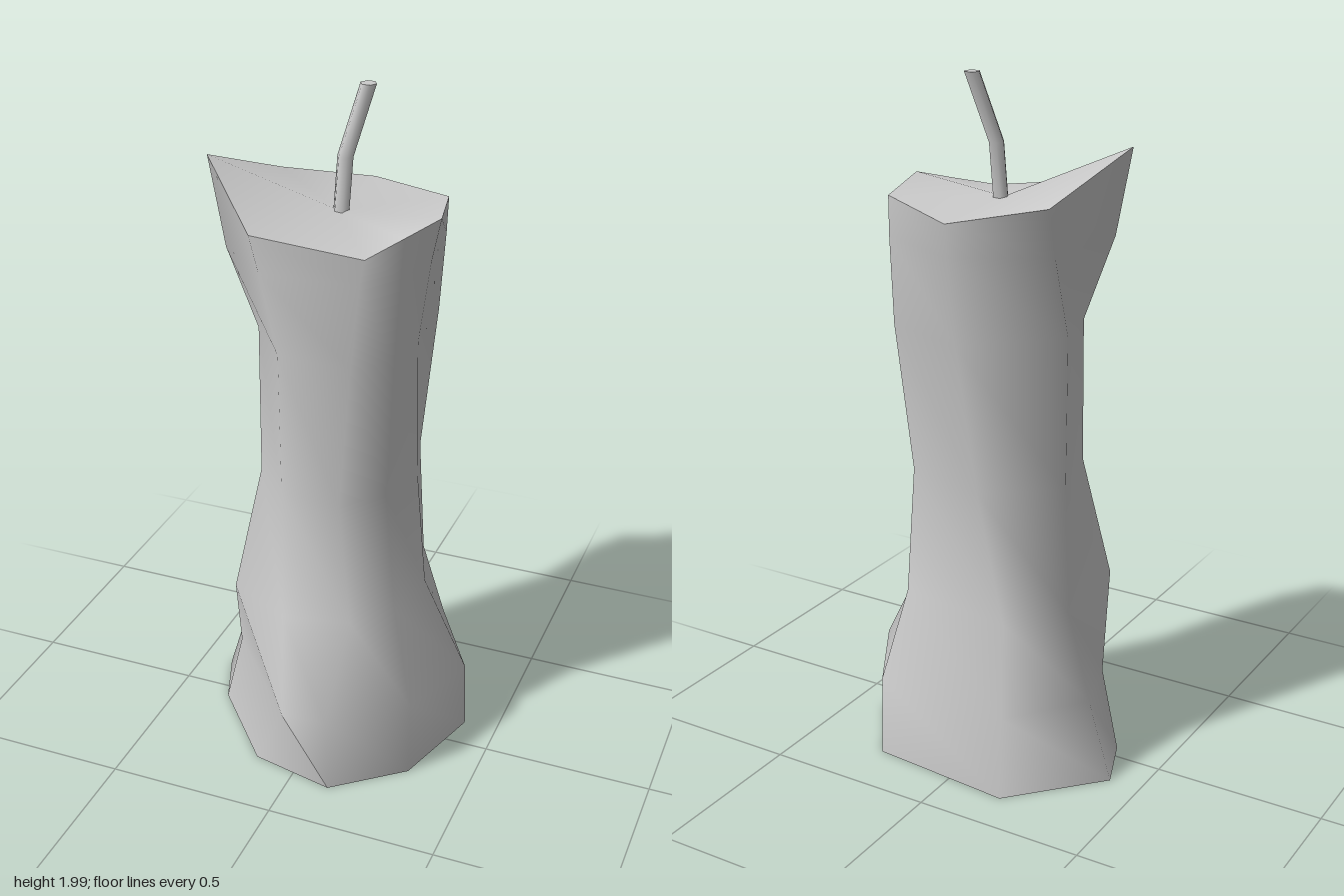
import * as THREE from 'three';

// Smooth geometry from [x, y, z] points and triangle corners
function surface(points, index) {
  const geometry = new THREE.BufferGeometry();
  geometry.setAttribute('position', new THREE.Float32BufferAttribute(points.flat(), 3));
  geometry.setIndex(index);
  geometry.computeVertexNormals();
  return geometry;
}

// Walls through rings listed bottom to top, each running left, front, right, back.
// A sharp crease runs down the diagonal from the first corner of ring `fold` to
// the lowest ring; the triangles below it get their own copies of its corners.
function walls(rings, fold = 0) {
  const n = rings[0].length;
  const index = [];
  const copies = rings.slice(0, fold + 1).map((ring, k) => ring[fold - k]);
  const corner = (i, k, below) => (below && i + k === fold ? rings.length * n + k : k * n + (i % n));
  for (let k = 0; k < rings.length - 1; k++) {
    for (let i = 0; i < n; i++) {
      const low = i + k < fold;
      const high = i + k < fold - 1;
      index.push(corner(i, k, low), corner(i + 1, k, low), corner(i, k + 1, low));
      index.push(corner(i + 1, k, high), corner(i + 1, k + 1, high), corner(i, k + 1, high));
    }
  }
  return surface([...rings.flat(), ...copies], index);
}

// Fan that closes a ring around a centre
function cap(ring, centre) {
  const n = ring.length;
  return surface([...ring, centre], ring.flatMap((_, i) => [n, i, (i + 1) % n]));
}

// A level ring from [x, z] corners
const level = (y, corners) => corners.map(([x, z]) => [x, y, z]);

// A small hexagonal ring for the wick
function hexagon([x, y, z], radius) {
  return Array.from({ length: 6 }, (_, i) => {
    const a = (i / 6) * Math.PI * 2;
    return [x - Math.cos(a) * radius, y, z + Math.sin(a) * radius];
  });
}

export function createModel() {
  const group = new THREE.Group();
  group.name = 'candle';
  const wax = new THREE.MeshStandardMaterial({ color: 0xcccccc, side: THREE.DoubleSide });
  const add = (name, geometry) => {
    const mesh = new THREE.Mesh(geometry, wax);
    mesh.name = name;
    group.add(mesh);
  };

  // Wax body, open below: flared foot, draped front left, narrow waist, uneven rim
  const rim = [[-0.333, 1.81, 0.07], [-0.14, 1.67, 0.24], [0.165, 1.63, 0.195], [0.235, 1.66, 0.09],
    [0.303, 1.69, -0.01], [0.252, 1.67, -0.225], [-0.01, 1.65, -0.355], [-0.245, 1.69, -0.225]];
  const rings = [
    level(0.01, [[-0.34, 0.045], [-0.13, 0.29], [0.12, 0.345], [0.315, 0.185],
      [0.4, -0.1], [0.25, -0.33], [-0.18, -0.37], [-0.405, -0.125]]),
    level(0.25, [[-0.28, 0.055], [-0.015, 0.362], [0.115, 0.35], [0.315, 0.185],
      [0.405, -0.06], [0.25, -0.32], [-0.17, -0.345], [-0.335, -0.13]]),
    level(0.52, [[-0.245, 0.16], [-0.05, 0.262], [0.14, 0.22], [0.235, 0.11],
      [0.266, -0.07], [0.2, -0.25], [-0.15, -0.3], [-0.27, -0.14]]),
    level(0.89, [[-0.185, 0.09], [-0.075, 0.2], [0.1, 0.205], [0.2, 0.1],
      [0.245, -0.04], [0.19, -0.22], [-0.06, -0.287], [-0.256, -0.14]]),
    level(1.32, [[-0.2, 0.055], [-0.08, 0.2], [0.135, 0.213], [0.225, 0.12],
      [0.243, -0.02], [0.225, -0.25], [-0.03, -0.34], [-0.25, -0.125]]),
    level(1.56, [[-0.278, 0.085], [-0.12, 0.225], [0.155, 0.205], [0.235, 0.11],
      [0.277, -0.01], [0.245, -0.235], [-0.015, -0.352], [-0.256, -0.21]]),
    rim,
  ];
  add('waxBody', walls(rings, 2));
  add('waxTop', cap(rim, [0, 1.66, -0.04]));

  // Bent wick
  const path = [[0.004, 1.62, -0.045], [0.014, 1.81, -0.055], [0.06, 2, -0.103]];
  const wickRings = path.map((p) => hexagon(p, 0.023));
  add('wick', walls(wickRings));
  add('wickTip', cap(wickRings[2], path[2]));

  return group;
}
